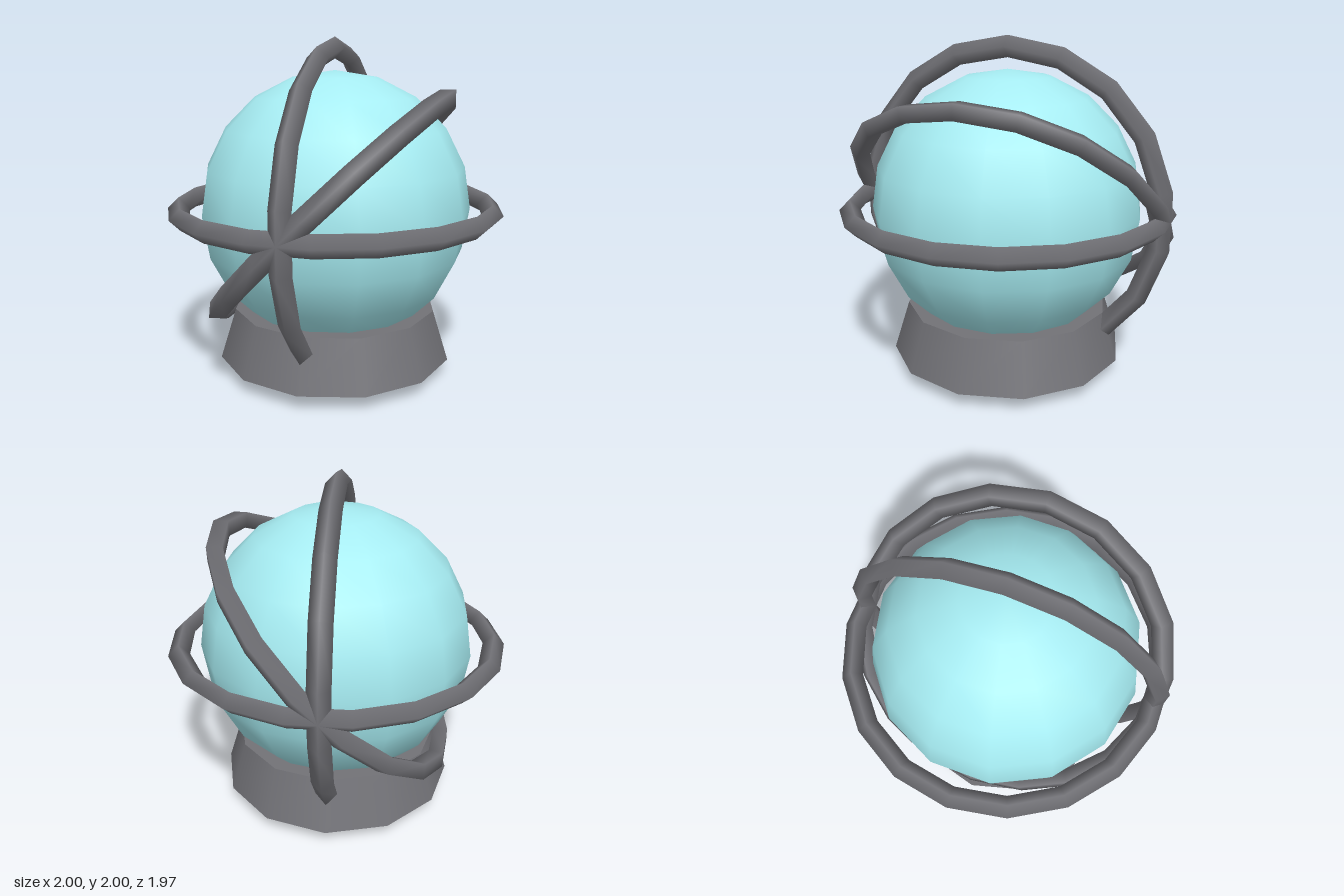
import * as THREE from 'three';

export function createModel() {
  const model = new THREE.Group();
  const metal = new THREE.MeshStandardMaterial({ color: 0x727277 });
  const glass = new THREE.MeshStandardMaterial({ color: 0xa6ecf2 });

  function add(name, geometry, material, y) {
    const mesh = new THREE.Mesh(geometry, material);
    mesh.name = name;
    mesh.position.y = y;
    model.add(mesh);
    return mesh;
  }

  // Globe, turned so that a meridian faces the front
  add('globe', new THREE.SphereGeometry(0.81, 14, 10).rotateY(Math.PI / 2), glass, 1);

  // Three diamond-section rings crossing at the front and back
  const ring = new THREE.TorusGeometry(0.9375, 0.0625, 4, 18).rotateX(Math.PI / 2);
  const tilts = { horizontalRing: 0, tiltedRing: Math.PI / 4, uprightRing: Math.PI / 2 };
  for (const [name, tilt] of Object.entries(tilts)) {
    add(name, ring, metal, 1).rotation.z = tilt;
  }

  // Flared twelve-sided stand
  add('base', new THREE.CylinderGeometry(0.615, 0.71, 0.3, 12), metal, 0.243);

  return model;
}
